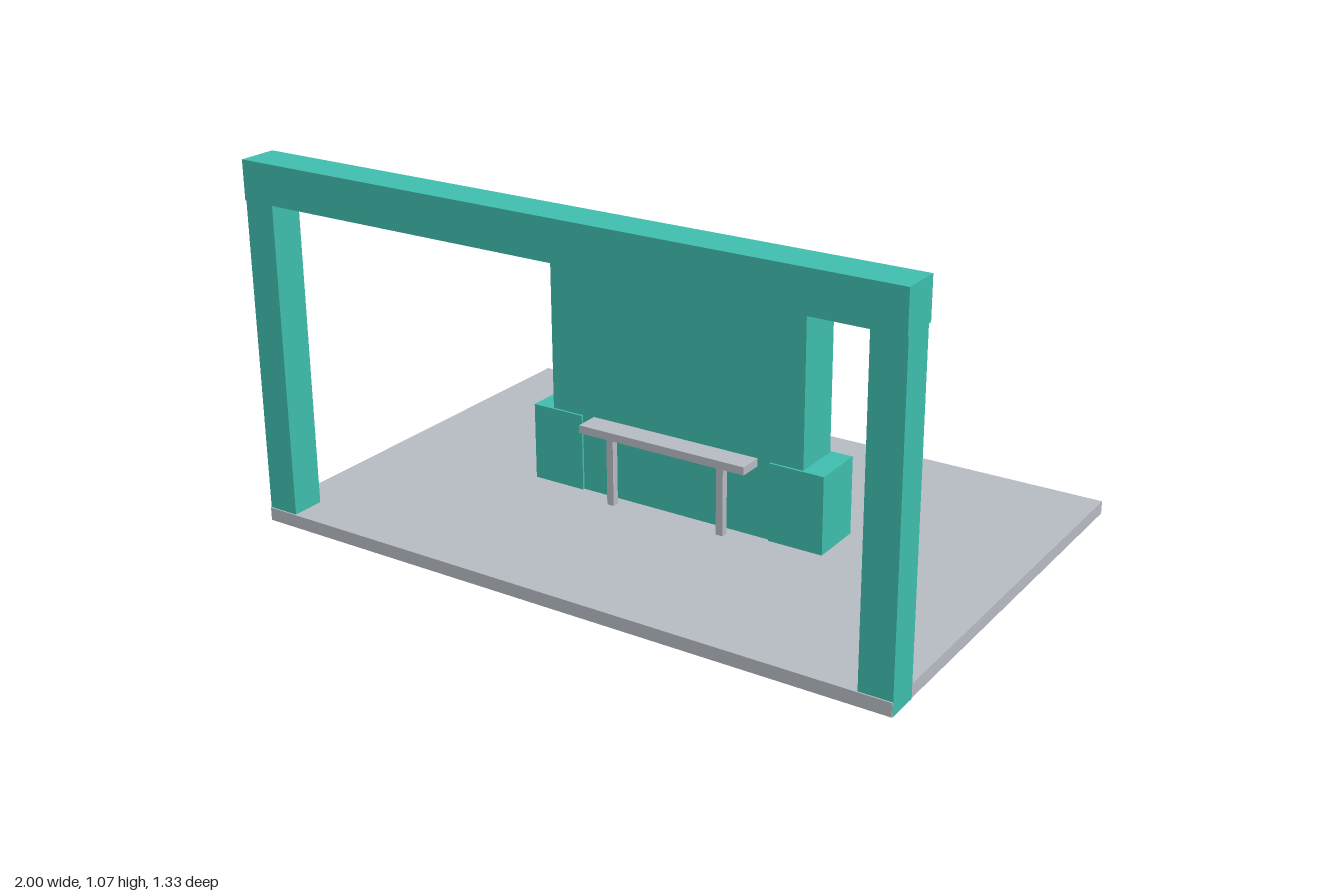
import * as THREE from 'three';

const teal = new THREE.MeshStandardMaterial({ color: 0x40c0b0 });
teal.name = 'teal';
const grey = new THREE.MeshStandardMaterial({ color: 0xb9bdc5 });
grey.name = 'light grey';

// Box given by its extents along each axis
function box(name, material, [x0, x1], [y0, y1], [z0, z1]) {
  const mesh = new THREE.Mesh(new THREE.BoxGeometry(x1 - x0, y1 - y0, z1 - z0), material);
  mesh.position.set((x0 + x1) / 2, (y0 + y1) / 2, (z0 + z1) / 2);
  mesh.name = name;
  return mesh;
}

export function createModel() {
  const model = new THREE.Group();
  model.name = 'booth';

  // Floor slab, a hair inside the parts that run through it
  model.add(box('floor', grey, [-0.999, 0.999], [0.001, 0.04], [-0.667, 0.667]));

  // Entrance gate: two posts and a beam
  const gate = new THREE.Group();
  gate.name = 'gate';
  gate.add(
    box('leftPost', teal, [0.905, 1], [0, 0.957], [0.563, 0.663]),
    box('rightPost', teal, [-1, -0.905], [0.04, 0.957], [0.563, 0.663]),
    box('beam', teal, [-1, 1], [0.957, 1.072], [0.552, 0.667]),
  );
  model.add(gate);

  // Central wall, reaching through the floor, with a block at each end
  model.add(box('wall', teal, [-0.42, 0.418], [0, 0.736], [-0.078, 0.073]));
  for (const [side, x] of [['left', 0.4], ['right', -0.4]]) {
    model.add(box(side + 'Block', teal, [x - 0.085, x + 0.085], [0.04, 0.274], [-0.085, 0.08]));
  }

  // Counter passing through the wall, on four legs
  const counter = new THREE.Group();
  counter.name = 'counter';
  counter.add(box('counterTop', grey, [-0.276, 0.274], [0.253, 0.277], [-0.152, 0.147]));
  for (const x of [-0.186, 0.183]) {
    for (const z of [0.114, -0.119]) {
      counter.add(box('counterLeg', grey, [x - 0.011, x + 0.011], [0.04, 0.253], [z - 0.011, z + 0.011]));
    }
  }
  model.add(counter);

  return model;
}
